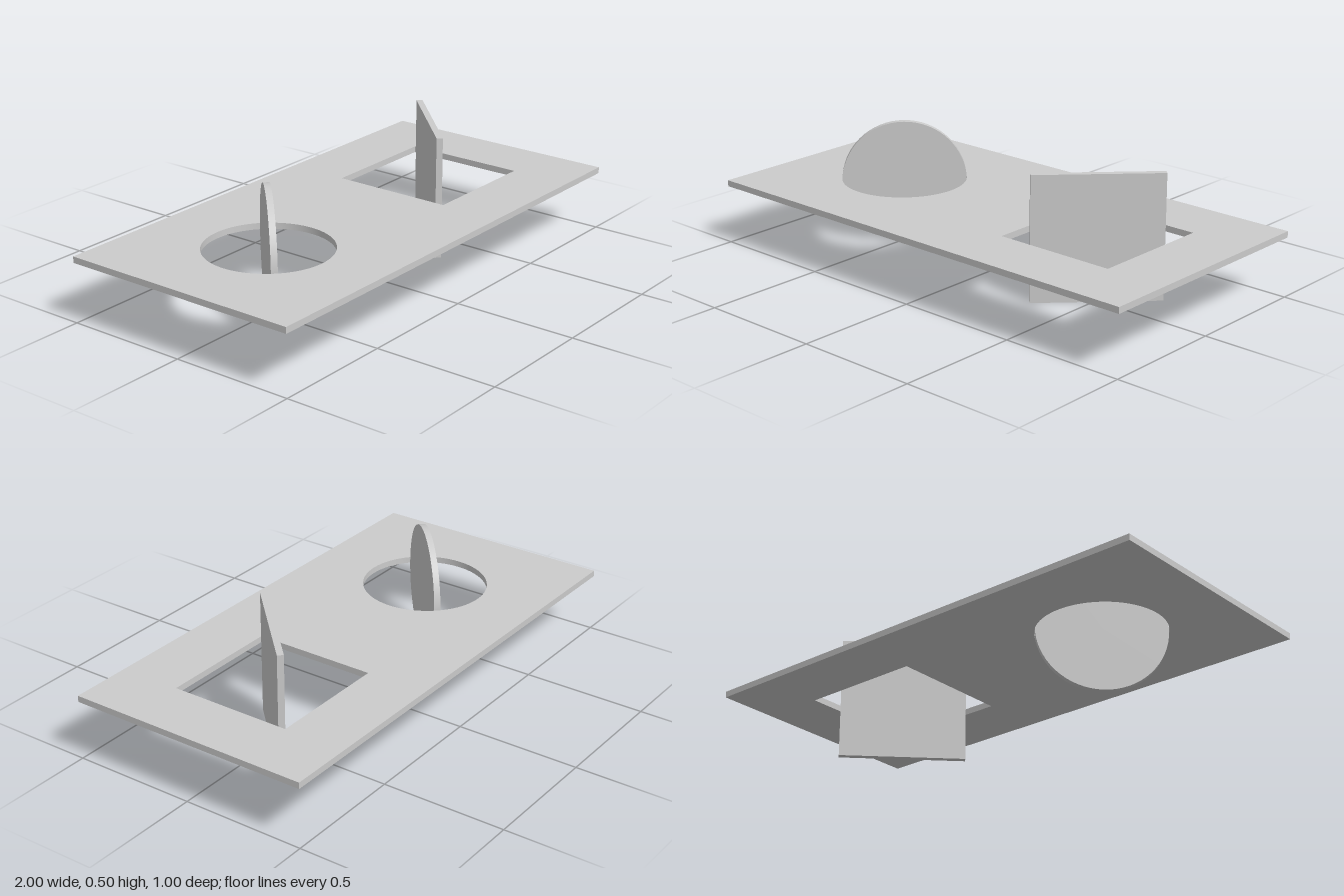
import * as THREE from 'three';
import { toCreasedNormals } from 'three/addons/utils/BufferGeometryUtils.js';

const THICK = 0.025; // sheet thickness shared by all parts
const SIZE = 0.5;    // width of each hole and each cut-out
const MID = 0.25;    // height of the centre plane
const OFFSET = 0.5;  // distance of each hole from the centre

const material = new THREE.MeshStandardMaterial({ color: 0xcccccc });

function rectangle(target, cx, w, h) {
  target.moveTo(cx - w / 2, -h / 2);
  target.lineTo(cx + w / 2, -h / 2);
  target.lineTo(cx + w / 2, h / 2);
  target.lineTo(cx - w / 2, h / 2);
  target.closePath();
  return target;
}

// Flat plate with one round and one square hole
function createPlate() {
  const shape = rectangle(new THREE.Shape(), 0, 2, 1);
  const roundHole = new THREE.Path();
  roundHole.absarc(-OFFSET, 0, SIZE / 2, 0, Math.PI * 2, true);
  shape.holes.push(roundHole, rectangle(new THREE.Path(), OFFSET, SIZE, SIZE));

  let geometry = new THREE.ExtrudeGeometry(shape, { depth: THICK, bevelEnabled: false, curveSegments: 64 });
  geometry.translate(0, 0, -THICK / 2);
  geometry.rotateX(-Math.PI / 2);
  geometry = toCreasedNormals(geometry, Math.PI / 6);
  const plate = new THREE.Mesh(geometry, material);
  plate.name = 'plate';
  plate.position.y = MID;
  return plate;
}

// Upright piece turned diagonally inside its hole
function createUpright(name, geometry, x) {
  const mesh = new THREE.Mesh(geometry, material);
  mesh.name = name;
  mesh.position.set(x, MID, 0);
  mesh.rotation.y = Math.PI / 4;
  return mesh;
}

export function createModel() {
  const model = new THREE.Group();
  model.name = 'plateWithTurnedCutouts';

  const disc = new THREE.CylinderGeometry(SIZE / 2, SIZE / 2, THICK, 64).rotateX(Math.PI / 2);
  const panel = new THREE.BoxGeometry(SIZE, SIZE, THICK);

  model.add(
    createPlate(),
    createUpright('roundDisc', disc, -OFFSET),
    createUpright('squarePanel', panel, OFFSET)
  );
  return model;
}
